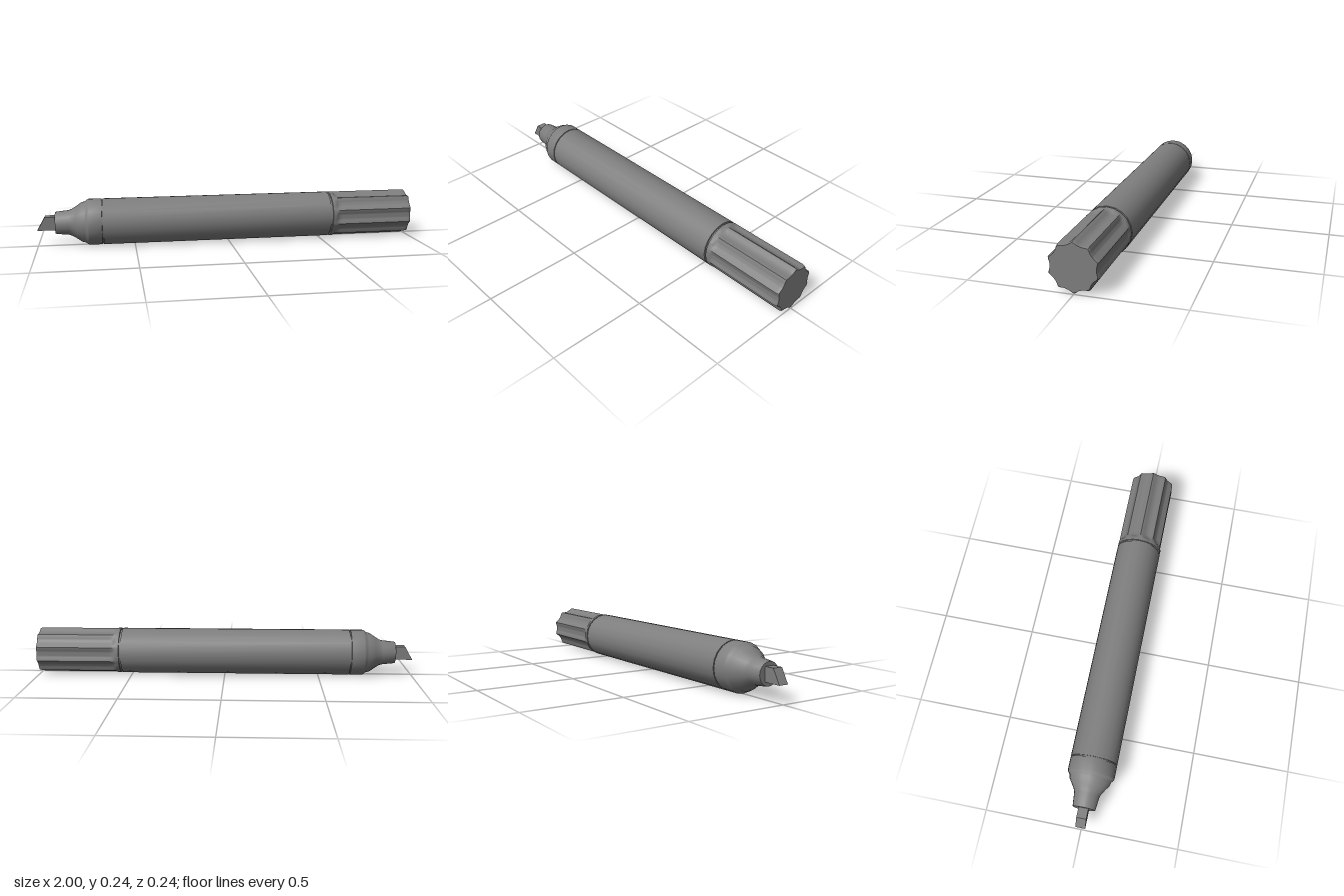
import * as THREE from 'three';
import { toCreasedNormals } from 'three/addons/utils/BufferGeometryUtils.js';

const R = 0.121;
const SIDES = 20;
const FLUTES = 10;

export function createModel() {
  const group = new THREE.Group();
  group.name = 'marker';
  const material = new THREE.MeshStandardMaterial({ color: 0x7e7e7e });

  function add(name, geometry) {
    const mesh = new THREE.Mesh(toCreasedNormals(geometry, 0.8), material);
    mesh.name = name;
    mesh.position.y = R;
    group.add(mesh);
  }

  // Turned part along x, from [x, radius] pairs in rising x
  function turned(name, profile) {
    const points = profile.map(([x, r]) => new THREE.Vector2(r, x));
    add(name, new THREE.LatheGeometry(points, SIDES).rotateZ(-Math.PI / 2));
  }

  // Slanted chisel nib
  const nibShape = new THREE.Shape([
    new THREE.Vector2(-1, -0.034), new THREE.Vector2(-0.9, -0.034),
    new THREE.Vector2(-0.9, 0.036), new THREE.Vector2(-0.96, 0.036),
  ]);
  add('nib', new THREE.ExtrudeGeometry(nibShape, { depth: 0.05, bevelEnabled: false })
    .translate(0, 0, -0.025));

  // Nib holder: neck, concave cone and soft shoulder
  turned('nose', [
    [-0.908, 0], [-0.908, 0.056], [-0.904, 0.058], [-0.838, 0.065],
    [-0.822, 0.071], [-0.8, 0.085], [-0.772, 0.104], [-0.758, 0.107],
    [-0.749, 0.112], [-0.743, 0.118], [-0.735, R], [-0.669, R],
    [-0.668, 0.115], [-0.66, 0.115],
  ]);

  // Long barrel with a recessed joint at each end
  turned('barrel', [
    [-0.663, 0.113], [-0.663, R], [0.55, R], [0.551, 0.114], [0.562, 0.114],
  ]);

  add('flutedCap', capGeometry());
  return group;
}

// Cap: a plain collar running into scooped flutes, closed by a flat end
function capGeometry() {
  const around = FLUTES * 8;
  const sector = (Math.PI * 2) / SIDES;
  // x, radius, share of the full flute depth
  const sections = [
    [0.559, 0.113, 0], [0.56, R, 0], [0.578, R, 0],
    [0.584, R, 0.35], [0.592, R, 0.7], [0.602, R, 0.92], [0.615, R, 1],
    [0.983, R, 1], [0.991, 0.12, 0.95], [0.997, 0.118, 0.85], [1, 0.115, 0.7], [1, 0, 0],
  ];
  const positions = [];
  const indices = [];
  sections.forEach(([x, radius, flute], s) => {
    for (let i = 0; i < around; i++) {
      const a = (i / around) * Math.PI * 2;
      // Flat-sided outline to match the barrel
      const flat = Math.cos(sector / 2) / Math.cos((a % sector) - sector / 2);
      const r = radius * flat - 0.015 * flute * Math.abs(Math.sin(a * FLUTES / 2)) ** 1.5;
      positions.push(x, r * Math.cos(a), r * Math.sin(a));
      if (s === 0) continue;
      const j = (i + 1) % around;
      const p = (s - 1) * around;
      const q = s * around;
      indices.push(p + i, p + j, q + i);
      if (s < sections.length - 1) indices.push(p + j, q + j, q + i);
    }
  });
  const geometry = new THREE.BufferGeometry();
  geometry.setAttribute('position', new THREE.Float32BufferAttribute(positions, 3));
  geometry.setIndex(indices);
  geometry.computeVertexNormals();
  return geometry;
}
